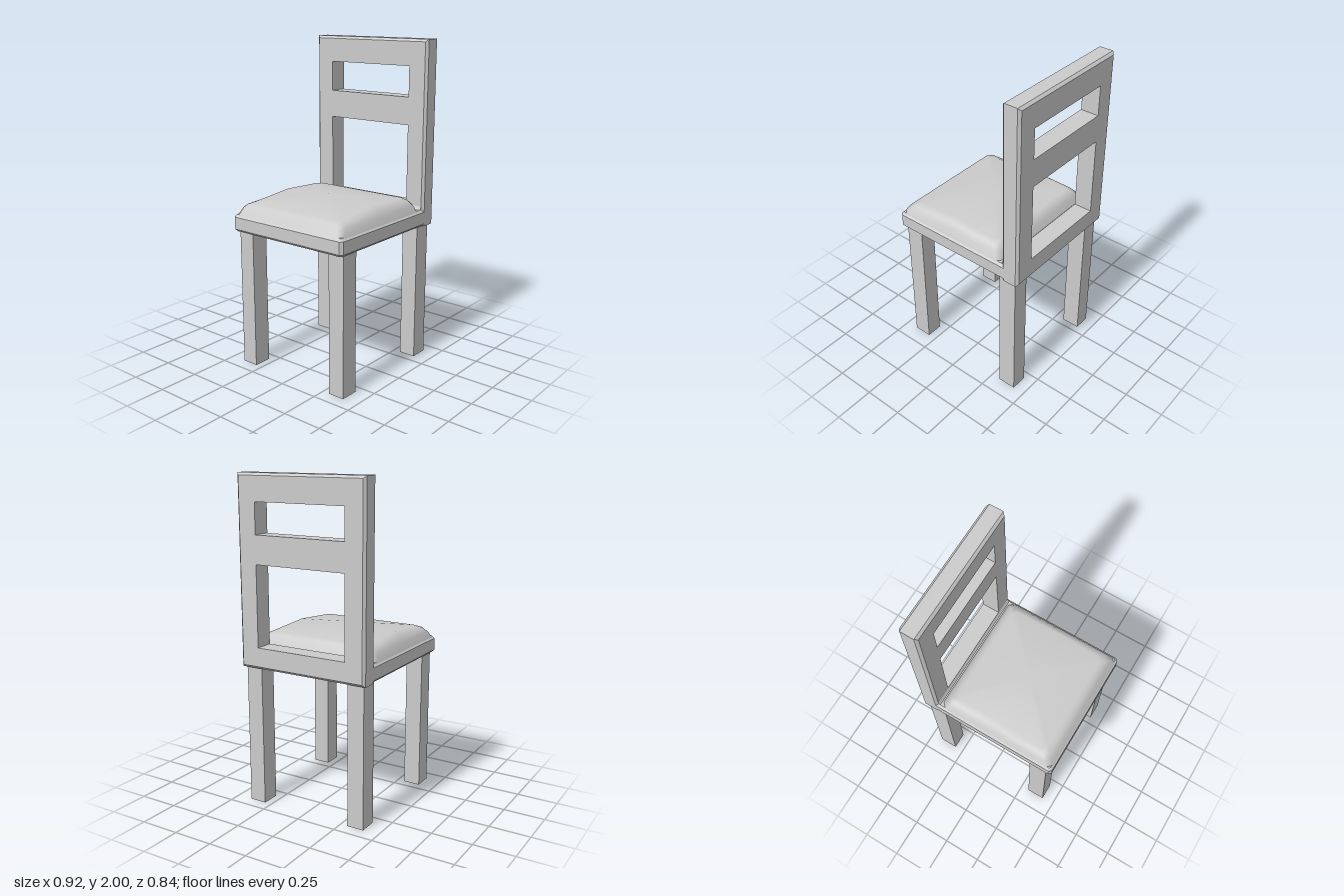
import * as THREE from 'three';

const material = new THREE.MeshStandardMaterial({ color: 0xcccccc });
const CH = 0.015; // chamfer on the outer edges
const BASE = 0.865, TOP = 2, HALF = 0.42, SEAT = 0.97;
const BACK_FRONT = 0.34, BACK_DEPTH = 0.115;

function part(name, geometry) {
  const mesh = new THREE.Mesh(geometry, material);
  mesh.name = name;
  return mesh;
}

function rect(Type, x0, x1, y0, y1) {
  return new Type([[x0, y0], [x1, y0], [x1, y1], [x0, y1]].map(p => new THREE.Vector2(...p)));
}

// Upright panel with two square-cut windows; only its outer rim is chamfered
function backrestGeometry() {
  const outline = rect(THREE.Shape, -HALF, HALF, BASE, TOP);
  outline.holes.push(rect(THREE.Path, -0.295, 0.295, 0.995, 1.485));
  outline.holes.push(rect(THREE.Path, -0.295, 0.295, 1.655, 1.84));
  const geo = new THREE.ExtrudeGeometry(outline, { depth: BACK_DEPTH, steps: 3, bevelEnabled: false });
  const pos = geo.attributes.position;
  const layers = [0, CH, BACK_DEPTH - CH, BACK_DEPTH];
  for (let i = 0; i < pos.count; i++) {
    const layer = Math.round(pos.getZ(i) / BACK_DEPTH * 3);
    pos.setZ(i, layers[layer]);
    const x = pos.getX(i), y = pos.getY(i);
    if ((layer === 0 || layer === 3) && Math.abs(x) > 0.4) {
      pos.setXY(i, Math.sign(x) * (HALF - CH), y > 1.5 ? TOP - CH : BASE + CH);
    }
  }
  geo.computeVertexNormals();
  geo.rotateY(Math.PI / 2);
  geo.translate(BACK_FRONT, 0, 0);
  return geo;
}

// Seat slab with chamfered edges; its rear end sits inside the backrest
function seatGeometry() {
  const x0 = -0.46 + CH, x1 = 0.42 - CH, z = HALF - CH, c = 0.008;
  const shape = new THREE.Shape([
    [x0 + c, -z], [x1, -z], [x1, z], [x0 + c, z], [x0, z - c], [x0, -z + c],
  ].map(p => new THREE.Vector2(...p)));
  const geo = new THREE.ExtrudeGeometry(shape, {
    depth: SEAT - BASE - 2 * CH, bevelThickness: CH, bevelSize: CH, bevelSegments: 1,
  });
  geo.rotateX(-Math.PI / 2);
  geo.translate(0, BASE + CH, 0);
  return geo;
}

// Small fillet where the backrest meets the seat
function filletGeometry() {
  const shape = new THREE.Shape([[0.322, 0.962], [0.35, 0.962], [0.35, 0.995], [0.34, 0.99], [0.334, 0.977]]
    .map(p => new THREE.Vector2(...p)));
  const geo = new THREE.ExtrudeGeometry(shape, { depth: 2 * (HALF - CH), bevelEnabled: false });
  geo.translate(0, 0, CH - HALF);
  return geo;
}

// Domed cushion: rings with cut corners rising to a low central peak
function cushionGeometry() {
  const xm = -0.06;
  // x front, x rear, half width, corner cut, height at front, middle, rear
  const rings = [
    [-0.452, 0.322, 0.41, 0.03, 0.965, 0.965, 0.965],
    [-0.425, 0.30, 0.392, 0.03, 1.008, 1.01, 1.01],
    [-0.405, 0.28, 0.37, 0.028, 1.028, 1.045, 1.037],
    [-0.375, 0.25, 0.335, 0.025, 1.042, 1.068, 1.054],
  ];
  const verts = [], index = [], N = 12;
  for (const [x0, x1, z, c, yf, ym, yr] of rings) {
    verts.push(
      x0, yf, 0, x0, yf, z - c, x0 + c, yf, z, xm, ym, z, x1 - c, yr, z, x1, yr, z - c,
      x1, yr, 0, x1, yr, c - z, x1 - c, yr, -z, xm, ym, -z, x0 + c, yf, -z, x0, yf, c - z);
  }
  verts.push(xm, 1.09, 0);
  for (let r = 0; r < rings.length; r++) {
    for (let i = 0; i < N; i++) {
      const a = r * N + i, b = r * N + (i + 1) % N;
      if (r === rings.length - 1) index.push(a, b, rings.length * N);
      else index.push(a, b, b + N, a, b + N, a + N);
    }
  }
  const geo = new THREE.BufferGeometry();
  geo.setAttribute('position', new THREE.Float32BufferAttribute(verts, 3));
  geo.setIndex(index);
  geo.computeVertexNormals();
  return geo;
}

export function createModel() {
  const chair = new THREE.Group();
  chair.name = 'chair';
  chair.add(
    part('seat', seatGeometry()),
    part('backrest', backrestGeometry()),
    part('backrestFillet', filletGeometry()),
    part('cushion', cushionGeometry()),
  );

  // Four square legs
  for (const [end, x] of [['front', -0.362], ['rear', 0.367]]) {
    for (const [side, z] of [['Left', -0.348], ['Right', 0.348]]) {
      const leg = part(end + side + 'Leg', new THREE.BoxGeometry(0.115, BASE + 0.005, 0.105));
      leg.position.set(x, (BASE + 0.005) / 2, z);
      chair.add(leg);
    }
  }
  return chair;
}
